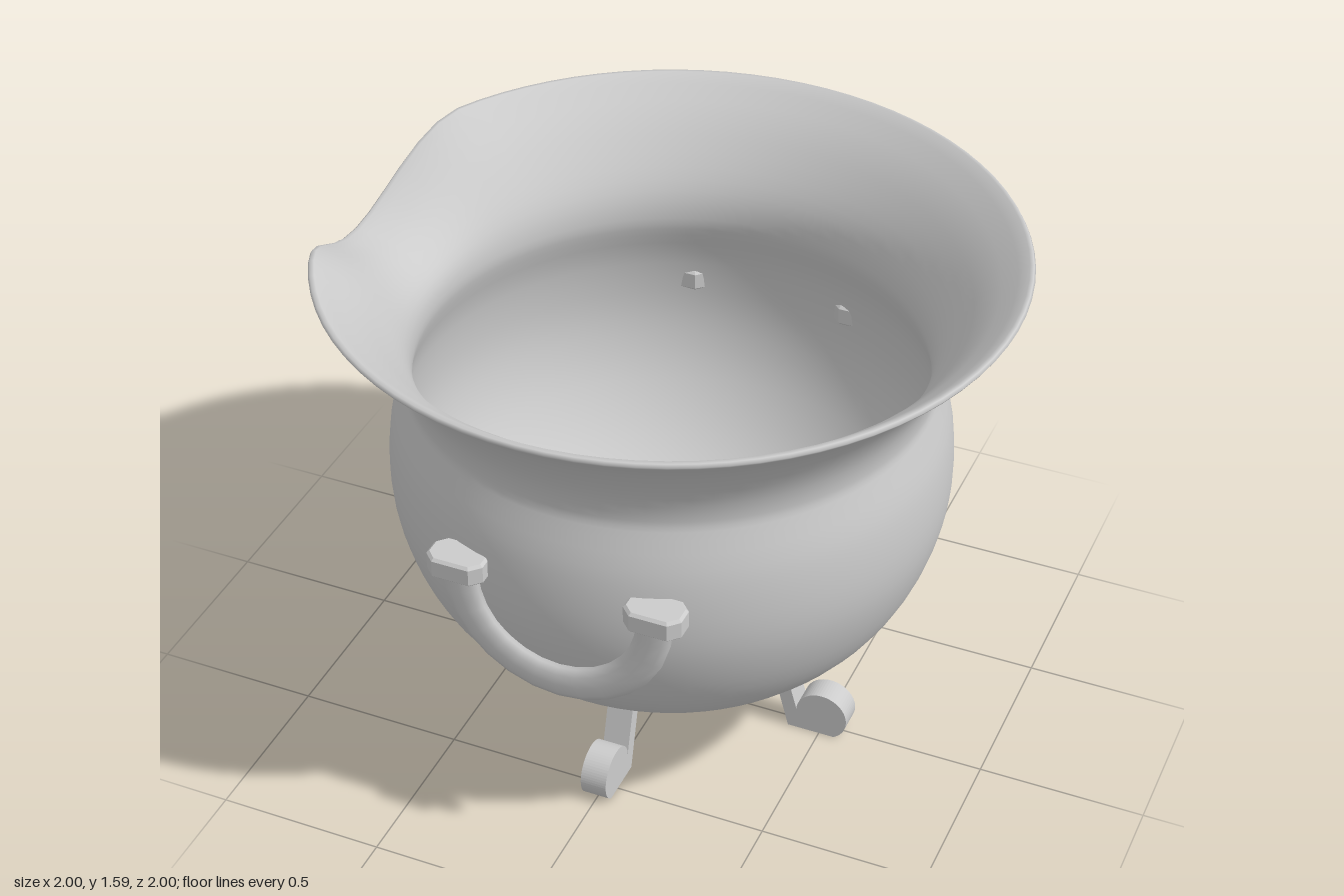
import * as THREE from 'three';
import { mergeVertices } from 'three/addons/utils/BufferGeometryUtils.js';

const material = new THREE.MeshStandardMaterial({ color: 0xcccccc, side: THREE.DoubleSide });

const spline = (pts, n) => new THREE.SplineCurve(pts.map(p => new THREE.Vector2(...p))).getPoints(n);

function addMesh(parent, geometry, name) {
  const mesh = new THREE.Mesh(geometry, material);
  mesh.name = name;
  parent.add(mesh);
  return mesh;
}

// Round pot with a flared rim, pulled down into a pouring spout at -x
function bowlGeometry() {
  const outer = [[0.11, 0.242], [0.39, 0.29], [0.55, 0.37], [0.67, 0.48], [0.75, 0.61], [0.8, 0.76],
    [0.815, 0.9], [0.803, 1.05], [0.77, 1.17], [0.76, 1.22], [0.777, 1.3], [0.825, 1.39], [0.9, 1.485], [0.995, 1.572]];
  const inner = [[0.983, 1.59], [0.88, 1.5], [0.795, 1.39], [0.748, 1.3], [0.735, 1.22], [0.745, 1.16],
    [0.777, 1.05], [0.79, 0.9], [0.775, 0.77], [0.73, 0.64], [0.645, 0.505], [0.53, 0.395], [0.38, 0.315], [0.11, 0.267]];
  const profile = [new THREE.Vector2(0, 0.242), ...spline(outer, 36), new THREE.Vector2(1, 1.58),
    new THREE.Vector2(0.995, 1.589), ...spline(inner, 36), new THREE.Vector2(0, 0.267)];
  let geo = new THREE.LatheGeometry(profile, 80);
  const p = geo.attributes.position;
  for (let i = 0; i < p.count; i++) {
    const x = p.getX(i), y = p.getY(i), z = p.getZ(i);
    const height = Math.max(0, (y - 1.22) / 0.37);
    const angle = Math.min(1, Math.abs(Math.atan2(z, -x)) / 0.49);
    const falloff = 0.5 + 0.5 * Math.cos(angle * Math.PI);
    p.setY(i, y - 0.185 * Math.pow(height, 1.5) * falloff);
  }
  // weld the seam so shading stays smooth all round
  geo.deleteAttribute('uv');
  geo.deleteAttribute('normal');
  geo = mergeVertices(geo, 1e-4);
  geo.computeVertexNormals();
  return geo;
}

// Drop handle: flattened half-loop hung from two chamfered brackets
function createHandle() {
  const handle = new THREE.Group();
  const path = [];
  for (let i = 0; i <= 10; i++) {
    const a = Math.PI * (1 + i / 10);
    path.push(new THREE.Vector3(0.29 * Math.cos(a), 0.945 + 0.3 * Math.sin(a), 0));
  }
  const loop = new THREE.TubeGeometry(new THREE.CatmullRomCurve3(path), 14, 0.054, 10);
  loop.scale(1, 1, 0.42);
  addMesh(handle, loop, 'handleLoop');

  const plan = new THREE.Shape([[-0.085, -0.025], [-0.055, -0.055], [0.055, -0.055], [0.085, -0.025],
    [0.085, 0.025], [0.055, 0.055], [-0.055, 0.055], [-0.085, 0.025]].map(p => new THREE.Vector2(...p)));
  const bracket = new THREE.ExtrudeGeometry(plan, {
    depth: 0.05, bevelEnabled: true, bevelThickness: 0.008, bevelSize: 0.008, bevelOffset: -0.008, bevelSegments: 1 });
  bracket.rotateX(-Math.PI / 2);
  for (const s of [-1, 1]) addMesh(handle, bracket, 'handleBracket').position.set(s * 0.292, 0.943, 0);
  return handle;
}

// Leg profile: slanted bar ending in a rolled foot, cut flat at the floor
function legGeometry() {
  const s = new THREE.Shape();
  s.moveTo(0.4, 0);
  s.lineTo(0.315, 0.318);
  s.lineTo(0.357, 0.318);
  s.lineTo(0.425, 0.075);
  s.absarc(0.505, 0.068, 0.08, Math.PI, -1.02, true);
  s.lineTo(0.547, 0);
  s.closePath();
  const geo = new THREE.ExtrudeGeometry(s, { depth: 0.08, bevelEnabled: false, curveSegments: 20 });
  return geo.translate(0, 0, -0.04);
}

export function createModel() {
  const model = new THREE.Group();
  model.name = 'cauldron';
  addMesh(model, bowlGeometry(), 'bowl');

  for (const [name, s] of [['frontHandle', 1], ['backHandle', -1]]) {
    const handle = createHandle();
    handle.name = name;
    handle.position.z = s * 0.79;
    model.add(handle);
  }

  const leg = legGeometry();
  ['leftLeg', 'backLeg', 'rightLeg', 'frontLeg'].forEach((name, i) => {
    addMesh(model, leg, name).rotation.y = i * Math.PI / 2;
  });
  return model;
}
